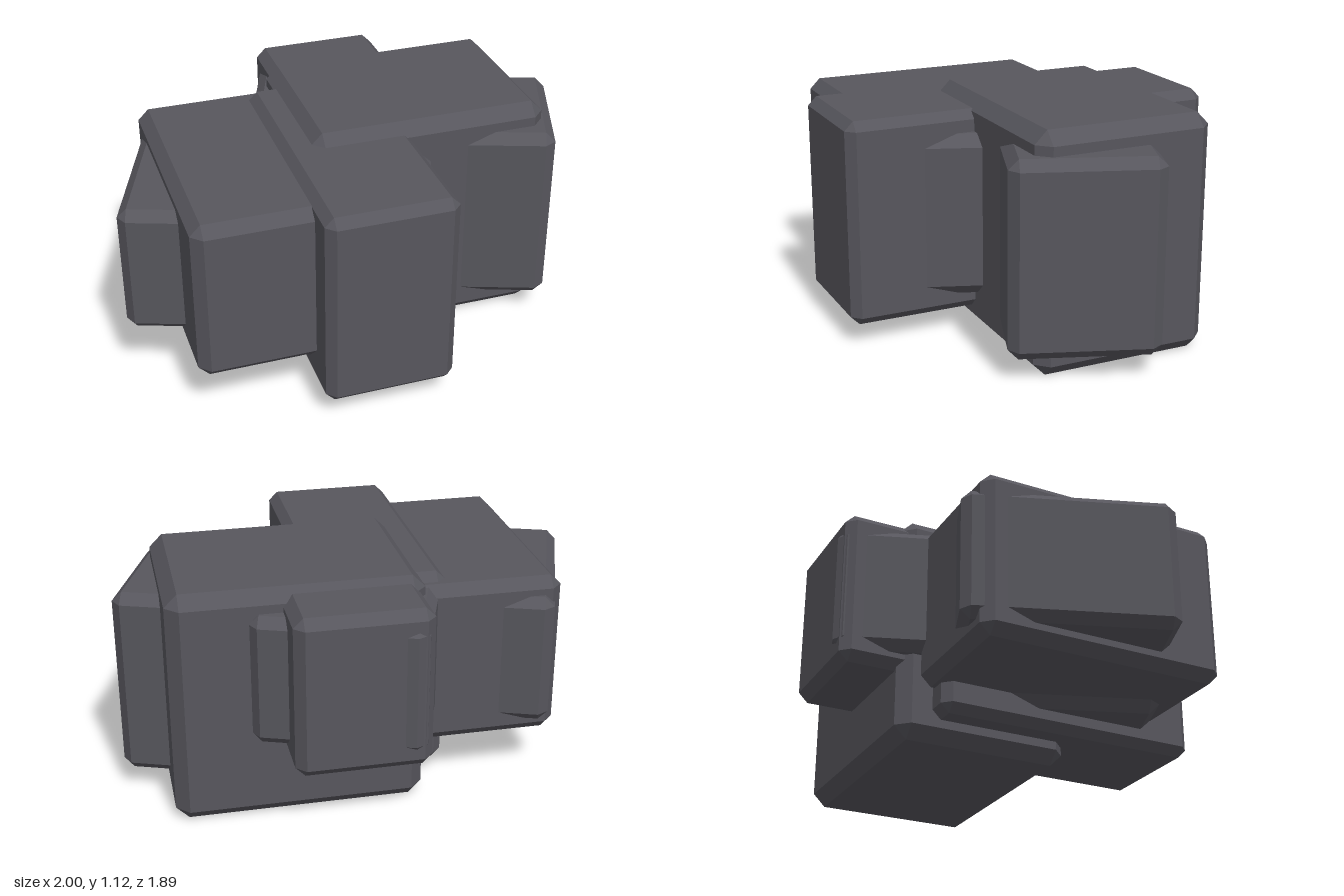
import * as THREE from 'three';
import { ConvexGeometry } from 'three/addons/geometries/ConvexGeometry.js';

const stone = new THREE.MeshStandardMaterial({ color: 0x57565d });
stone.name = 'dark grey stone';

// Box with every edge bevelled by c, given by its [min, max] along each axis
function block(name, [x0, x1], [y0, y1], [z0, z1], c) {
  const hx = (x1 - x0) / 2, hy = (y1 - y0) / 2, hz = (z1 - z0) / 2;
  const points = [];
  for (const sx of [-1, 1]) for (const sy of [-1, 1]) for (const sz of [-1, 1]) {
    points.push(
      new THREE.Vector3(sx * hx, sy * (hy - c), sz * (hz - c)),
      new THREE.Vector3(sx * (hx - c), sy * hy, sz * (hz - c)),
      new THREE.Vector3(sx * (hx - c), sy * (hy - c), sz * hz)
    );
  }
  const mesh = new THREE.Mesh(new ConvexGeometry(points), stone);
  mesh.name = name;
  mesh.position.set((x0 + x1) / 2, (y0 + y1) / 2, (z0 + z1) / 2);
  return mesh;
}

export function createModel() {
  const model = new THREE.Group();
  model.name = 'rockCluster';

  // Four large blocks sharing one turned frame
  const turned = new THREE.Group();
  turned.name = 'turnedBlocks';
  turned.rotation.y = THREE.MathUtils.degToRad(20);
  turned.add(
    block('mainBlock', [-0.23, 0.93], [0, 1.12], [-0.6, 0.257], 0.06),
    block('frontBlock', [-0.36, 0.253], [0.1, 1.07], [-0.44, 0.867], 0.042),
    block('sideBlock', [-0.897, -0.2], [0.24, 1.03], [-0.51, 0.692], 0.05),
    block('rearBlock', [-0.2, 0.42], [0.33, 1.09], [-0.875, -0.35], 0.045)
  );

  // Four smaller square-on blocks poking out between them
  const straight = new THREE.Group();
  straight.name = 'straightBlocks';
  straight.add(
    block('leftStraightBlock', [0.3, 1], [0.11, 1.015], [-0.62, 0.06], 0.047),
    block('rightStraightBlock', [-0.98, -0.4], [0.32, 0.95], [-0.27, 0.69], 0.044),
    block('rearStraightBlock', [-0.455, 0.335], [0.4, 1.02], [-0.8, 0], 0.045),
    block('frontStraightBlock', [-0.38, 0.41], [0.19, 0.97], [-0.1, 0.73], 0.055)
  );

  model.add(turned, straight);
  return model;
}
